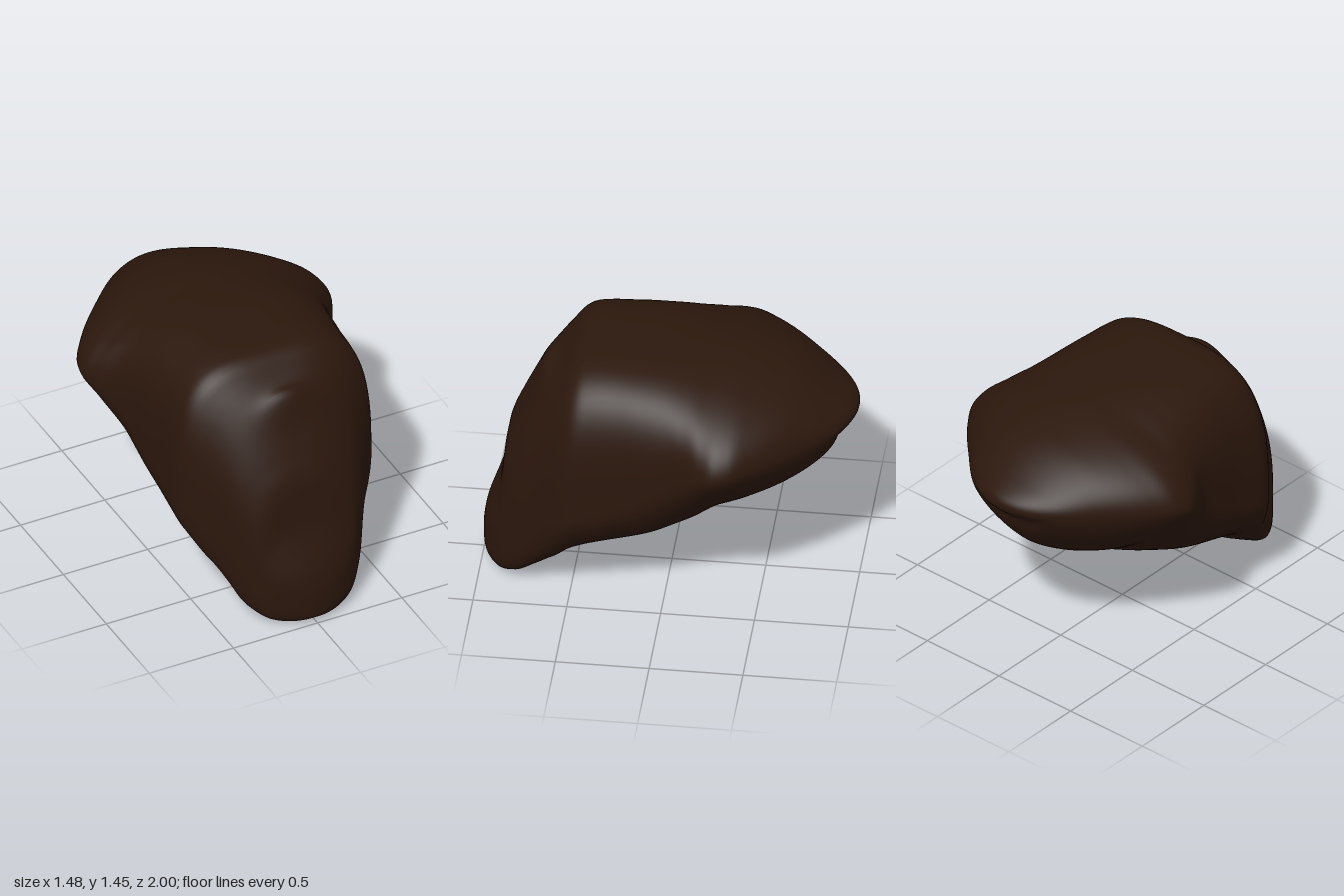
import * as THREE from 'three';

const RINGS = 160;
const AROUND = 112;

// Smooth curve through [z, value] points listed front to back, without overshoot.
// It runs over the angle acos(z), so both tips come out round.
function profile(points) {
  const t = points.map(([z]) => Math.acos(z));
  const v = points.map(([, value]) => value);
  const slope = (i) => (v[i + 1] - v[i]) / (t[i + 1] - t[i]);
  const tangent = (i) => {
    if (i === 0) return slope(0);
    if (i === t.length - 1) return slope(i - 1);
    const a = slope(i - 1), b = slope(i);
    return a * b > 0 ? (2 * a * b) / (a + b) : 0;
  };
  return (angle) => {
    let i = 0;
    while (i < t.length - 2 && angle > t[i + 1]) i++;
    const h = t[i + 1] - t[i];
    const f = (angle - t[i]) / h, f2 = f * f, f3 = f2 * f;
    return (2 * f3 - 3 * f2 + 1) * v[i] + (f3 - 2 * f2 + f) * h * tangent(i)
      + (3 * f2 - 2 * f3) * v[i + 1] + (f3 - f2) * h * tangent(i + 1);
  };
}

// Crown line, up the steep front and gently down to the rear
const top = profile([
  [1, 0.17], [0.99, 0.28], [0.9, 0.56], [0.865, 0.82], [0.8, 0.98],
  [0.73, 1.115], [0.64, 1.255], [0.55, 1.355], [0.49, 1.412], [0.43, 1.436],
  [0.3, 1.447], [0.1, 1.447], [-0.3, 1.418], [-0.62, 1.345], [-0.885, 1.205],
  [-1, 1.1],
]);

// Underside line, tucked in below the rear lip
const bottom = profile([
  [1, 0.17], [0.99, 0.04], [0.9, 0], [0.74, 0.055], [0.6, 0.12], [0.43, 0.22],
  [0.1, 0.315], [-0.3, 0.46], [-0.62, 0.64], [-0.82, 0.81], [-0.885, 0.91],
  [-0.91, 0.985], [-1, 1.1],
]);

// Half width in plan, flaring at the sides
const halfWidth = profile([
  [1, 0], [0.97, 0.155], [0.9, 0.27], [0.8, 0.36], [0.71, 0.42], [0.64, 0.47],
  [0.55, 0.545], [0.5, 0.572], [0.45, 0.582], [0.3, 0.584], [0.1, 0.6],
  [-0.03, 0.62], [-0.12, 0.653], [-0.22, 0.71], [-0.3, 0.74], [-0.38, 0.725],
  [-0.5, 0.65], [-0.74, 0.435], [-0.885, 0.285], [-1, 0],
]);

// Height of the widest line
const widest = profile([
  [1, 0.17], [0.9, 0.28], [0.8, 0.45], [0.71, 0.53], [0.49, 0.61], [0.3, 0.68],
  [0.1, 0.79], [-0.03, 0.88], [-0.12, 0.95], [-0.3, 1.03], [-0.5, 1.06], [-1, 1.1],
]);

// Squareness of the section above and below the widest line
const upperPower = profile([
  [1, 2], [0.8, 2.6], [0.6, 3.0], [0.4, 3.5], [0.2, 3.4], [-0.03, 2.9],
  [-0.12, 2.5], [-0.3, 1.9], [-0.6, 1.95], [-1, 2],
]);
const lowerPower = profile([
  [1, 2], [0.95, 3.6], [0.8, 4.8], [0.7, 3.3], [0.6, 2.4], [0.49, 1.9],
  [0.1, 1.95], [-0.1, 1.7], [-0.3, 1.3], [-0.7, 1.55], [-1, 2],
]);

// Small raised brow on the centre line
const brow = (x, z) =>
  0.065 * Math.exp(-(((z - 0.675) / 0.05) ** 2) - (x / 0.16) ** 2);

function bodyGeometry() {
  const positions = [];
  const indices = [];

  // Rings made of superellipse halves
  for (let r = 0; r < RINGS; r++) {
    const angle = ((r + 1) / (RINGS + 1)) * Math.PI;
    const z = Math.cos(angle);
    const width = halfWidth(angle), mid = widest(angle);
    for (let k = 0; k < AROUND; k++) {
      const a = (k / AROUND) * Math.PI * 2;
      const c = Math.cos(a), s = Math.sin(a);
      const p = s >= 0 ? upperPower(angle) : lowerPower(angle);
      const height = s >= 0 ? top(angle) - mid : mid - bottom(angle);
      const radius = (Math.abs(c) ** p + Math.abs(s) ** p) ** (-1 / p);
      const x = width * radius * c;
      positions.push(x, mid + height * radius * s + Math.max(0, s) * brow(x, z), z);
    }
  }

  // Front and rear tips
  const frontTip = RINGS * AROUND, rearTip = frontTip + 1;
  positions.push(0, widest(0), 1, 0, widest(Math.PI), -1);

  const lastRing = (RINGS - 1) * AROUND;
  for (let k = 0; k < AROUND; k++) {
    const n = (k + 1) % AROUND;
    for (let ring = 0; ring < lastRing; ring += AROUND) {
      const a = ring + k, b = ring + n;
      indices.push(a, a + AROUND, b, b, a + AROUND, b + AROUND);
    }
    indices.push(frontTip, k, n, rearTip, lastRing + n, lastRing + k);
  }

  const geometry = new THREE.BufferGeometry();
  geometry.setAttribute('position', new THREE.Float32BufferAttribute(positions, 3));
  geometry.setIndex(indices);
  geometry.computeVertexNormals();
  return geometry;
}

export function createModel() {
  const group = new THREE.Group();
  group.name = 'smoothShell';
  const body = new THREE.Mesh(
    bodyGeometry(),
    new THREE.MeshStandardMaterial({ color: 0x2b170c })
  );
  body.name = 'body';
  group.add(body);
  return group;
}
